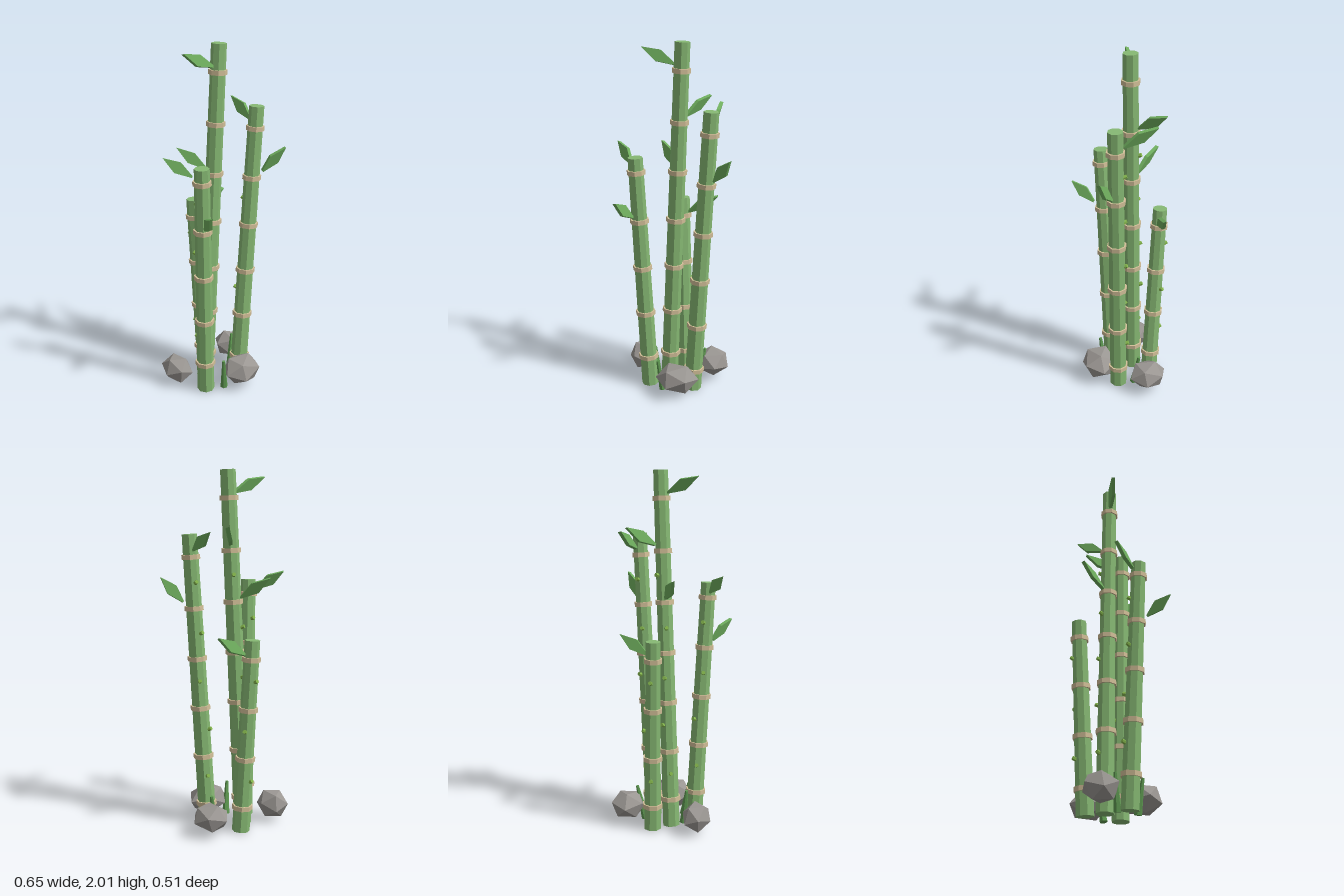
import * as THREE from 'three';

const mat = (color) => new THREE.MeshStandardMaterial({ color, flatShading: true });
const V = (a) => new THREE.Vector3(...a);
const UP = new THREE.Vector3(0, 1, 0);

export function createModel() {
  const model = new THREE.Group();
  const stalkMat = mat(0x86b873), ringMat = mat(0xd2bf98), leafMat = mat(0x6fae5e);
  const budMat = mat(0x86b84e), shootMat = mat(0x5f9a52), rockMat = mat(0x9a9692);

  const add = (parent, name, geometry, material) => {
    const mesh = new THREE.Mesh(geometry, material);
    mesh.name = name;
    parent.add(mesh);
    return mesh;
  };

  // Tapered rod from a to b
  const rod = (parent, name, a, b, r0, r1, sides, material) => {
    const dir = b.clone().sub(a);
    const mesh = add(parent, name, new THREE.CylinderGeometry(r1, r0, dir.length(), sides), material);
    mesh.position.copy(a).addScaledVector(dir, 0.5);
    mesh.quaternion.setFromUnitVectors(UP, dir.normalize());
    return mesh;
  };

  // Thick diamond leaf standing on edge, slightly rolled
  const leaf = (parent, from, to) => {
    const a = V(from), dir = V(to).sub(a), len = dir.length(), w = 0.033, d = 0.02;
    const shape = new THREE.Shape();
    shape.moveTo(0, -0.005);
    shape.lineTo(len * 0.5, -w);
    shape.lineTo(len, 0);
    shape.lineTo(len * 0.5, w);
    shape.lineTo(0, 0.005);
    const geo = new THREE.ExtrudeGeometry(shape, { depth: d, bevelEnabled: false });
    geo.translate(0, 0, -d / 2);
    geo.rotateX(0.3);
    const mesh = add(parent, 'leaf', geo, leafMat);
    const x = dir.normalize();
    const z = new THREE.Vector3().crossVectors(x, UP).normalize();
    const y = new THREE.Vector3().crossVectors(z, x);
    mesh.quaternion.setFromRotationMatrix(new THREE.Matrix4().makeBasis(x, y, z));
    mesh.position.copy(a);
  };

  // Stalks: base, top, lowest ring height, ring count, buds [height, angle], leaves [from, to]
  const stalks = [
    { name: 'tallStalk', base: [-0.033, 0, -0.07], top: [0.042, 2, -0.028], ring: 0.16, rings: 7,
      buds: [[0.3, -2.0], [0.58, -1.2], [0.85, -1.6], [1.13, -2.0], [1.42, -1.0]],
      leaves: [[[0.0, 1.88, -0.035], [-0.185, 1.965, -0.075]],
        [[0.06, 1.6, -0.07], [0.185, 1.695, -0.185]],
        [[-0.005, 1.31, -0.08], [-0.09, 1.42, -0.225]]] },
    { name: 'rightStalk', base: [-0.138, 0, 0.03], top: [-0.205, 1.39, 0.07], ring: 0.182, rings: 5,
      buds: [[0.33, -1.8], [0.6, -1.1], [0.87, -1.9], [1.155, -1.5]],
      leaves: [[[-0.23, 1.34, 0.025], [-0.322, 1.44, -0.1]],
        [[-0.22, 1.06, 0.11], [-0.3, 1.17, 0.22]]] },
    { name: 'leftStalk', base: [0.118, 0, 0.062], top: [0.208, 1.655, 0.1], ring: 0.125, rings: 6,
      buds: [[0.28, -1.2], [0.55, -1.9], [0.83, -1.0], [1.1, -1.6], [1.38, -1.3]],
      leaves: [[[0.215, 1.57, 0.055], [0.25, 1.67, -0.115]],
        [[0.23, 1.285, 0.13], [0.318, 1.42, 0.22]]] },
    { name: 'backStalk', base: [0.055, 0, -0.15], top: [0.027, 1.09, -0.21], ring: 0.14, rings: 4,
      buds: [[0.28, -1.7], [0.57, -0.6], [0.85, -1.6]],
      leaves: [[[0.065, 1.01, -0.19], [0.235, 1.115, -0.167]]] },
  ];

  for (const s of stalks) {
    const group = new THREE.Group();
    group.name = s.name;
    model.add(group);
    const base = V(s.base), top = V(s.top);
    const tilt = new THREE.Quaternion().setFromUnitVectors(UP, top.clone().sub(base).normalize());
    const at = (y) => base.clone().lerp(top, y / top.y);
    const radius = (y) => 0.05 - 0.008 * (y / top.y);
    rod(group, 'cane', base, top, 0.05, 0.042, 8, stalkMat);

    // Raised joint rings
    for (let i = 0; i < s.rings; i++) {
      const y = s.ring + i * 0.2815, r = radius(y) + 0.009;
      const ring = add(group, 'jointRing', new THREE.CylinderGeometry(r, r, 0.026, 8), ringMat);
      ring.position.copy(at(y));
      ring.quaternion.copy(tilt);
    }
    // Short bud stubs
    for (const [y, angle] of s.buds) {
      const out = new THREE.Vector3(Math.cos(angle), 0.35, Math.sin(angle)), r = radius(y);
      rod(group, 'bud', at(y).addScaledVector(out, r * 0.7), at(y).addScaledVector(out, r + 0.014),
        0.013, 0.011, 6, budMat);
    }
    for (const [from, to] of s.leaves) leaf(group, from, to);
  }

  // Young shoots at the ground
  const shoots = [
    [[-0.055, 0.0, 0.1], [-0.082, 0.19, 0.12]],
    [[0.14, 0.0, -0.025], [0.182, 0.2, -0.046]],
    [[-0.09, 0.0, -0.02], [-0.115, 0.2, -0.04]],
  ];
  for (const [a, b] of shoots) rod(model, 'shoot', V(a), V(b), 0.022, 0.009, 6, shootMat);

  // Faceted rocks fitted to a given centre and size
  const rock = (name, center, size, turn) => {
    const geo = new THREE.IcosahedronGeometry(1, 0);
    geo.rotateX(turn[0]).rotateY(turn[1]).rotateZ(turn[2]);
    geo.computeBoundingBox();
    const ext = geo.boundingBox.getSize(new THREE.Vector3());
    geo.scale(size[0] / ext.x, size[1] / ext.y, size[2] / ext.z);
    geo.computeVertexNormals();
    add(model, name, geo, rockMat).position.set(...center);
  };
  rock('frontRock', [0.035, 0.105, 0.158], [0.25, 0.16, 0.186], [0.4, 0.5, 0.2]);
  rock('leftRock', [0.224, 0.1, -0.088], [0.19, 0.148, 0.22], [0.2, 1.2, 0.5]);
  rock('rightRock', [-0.203, 0.093, -0.142], [0.165, 0.145, 0.186], [0.9, 0.3, 0.6]);

  return model;
}
